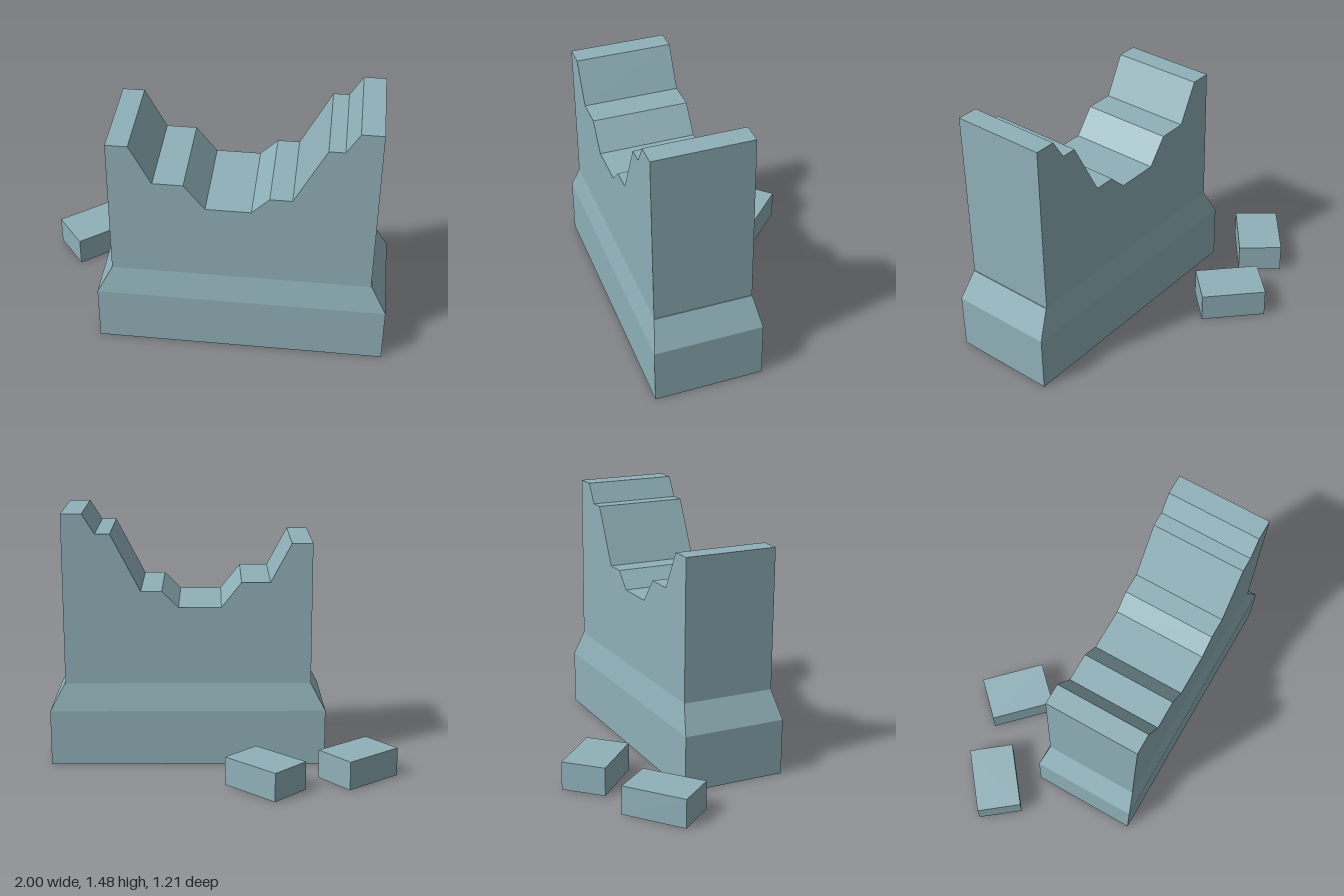
import * as THREE from 'three';

const material = new THREE.MeshStandardMaterial({ color: 0x8fb0b8, flatShading: true });

function addMesh(group, name, geometry) {
  const mesh = new THREE.Mesh(geometry, material);
  mesh.name = name;
  group.add(mesh);
  return mesh;
}

// Plinth: upright sides, then a sloped shoulder narrowing to the wall
function plinthGeometry() {
  const geometry = new THREE.BoxGeometry(1.6, 2, 0.61, 1, 2, 1).toNonIndexed();
  const p = geometry.attributes.position;
  for (let i = 0; i < p.count; i++) {
    const level = Math.round(p.getY(i)) + 1;
    p.setY(i, [0, 0.325, 0.485][level]);
    if (level === 2) {
      p.setX(i, Math.sign(p.getX(i)) * 0.714);
      p.setZ(i, Math.sign(p.getZ(i)) * 0.273);
    }
  }
  geometry.computeVertexNormals();
  return geometry.translate(0.2, 0, 0.3);
}

// Wall: broken stepped outline extruded through its thickness
function wallGeometry() {
  const outline = [
    [-0.515, 0.485], [0.91, 0.485], [0.91, 1.475], [0.79, 1.475],
    [0.72, 1.36], [0.635, 1.36], [0.465, 1.03], [0.345, 1.03],
    [0.25, 0.935], [0.005, 0.935], [-0.11, 1.08], [-0.275, 1.08],
    [-0.395, 1.305], [-0.515, 1.305],
  ].map(([x, y]) => new THREE.Vector2(x, y));
  return new THREE.ExtrudeGeometry(new THREE.Shape(outline), { depth: 0.546, bevelEnabled: false })
    .translate(0, 0, 0.027);
}

export function createModel() {
  const group = new THREE.Group();
  group.name = 'ruinedWall';
  addMesh(group, 'plinth', plinthGeometry());
  addMesh(group, 'brokenWall', wallGeometry());

  // Fallen blocks behind the wall: x, z, turn
  const blocks = [[-0.772, -0.218, 0.673], [-0.236, -0.383, -0.776]];
  blocks.forEach(([x, z, turn], i) => {
    const block = addMesh(group, `fallenBlock${i + 1}`, new THREE.BoxGeometry(0.376, 0.165, 0.257));
    block.position.set(x, 0.0825, z);
    block.rotation.y = turn;
  });
  return group;
}
